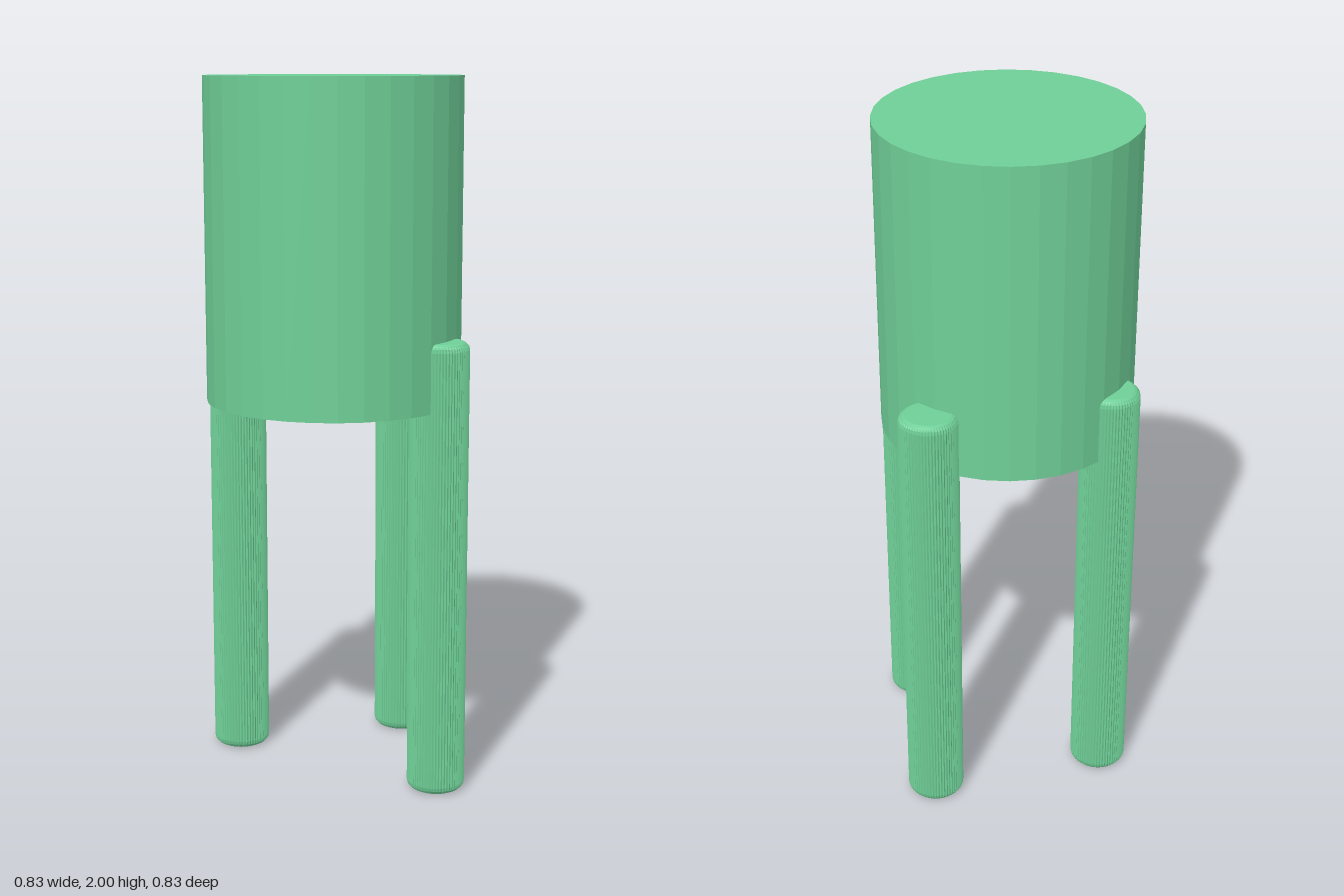
import * as THREE from 'three';

const green = new THREE.MeshStandardMaterial({ color: 0x6fcf97 });
green.name = 'green';

// Leg: a rounded-end rod whose side is finely ribbed all round
function legGeometry(ribs = 60) {
  const H = 1.29;
  const half = [[0, 0], [0.064, 0], [0.072, 0.004], [0.078, 0.012], [0.0805, 0.022]];
  const profile = [
    ...half,
    ...half.map(([r, y]) => [r, H - y]).reverse(),
  ].map(([r, y]) => new THREE.Vector2(r, y));
  const lathe = new THREE.LatheGeometry(profile, ribs * 2);

  // push every other column of the side outward to raise the ribs
  const pos = lathe.attributes.position;
  for (let i = 0; i < pos.count; i++) {
    const column = Math.floor(i / profile.length);
    const r = Math.hypot(pos.getX(i), pos.getZ(i));
    if (r < 0.077) continue;
    const k = column % 2 ? 0.985 : 1.02;
    pos.setX(i, pos.getX(i) * k);
    pos.setZ(i, pos.getZ(i) * k);
  }
  const flat = lathe.toNonIndexed();
  flat.computeVertexNormals();
  return flat;
}

export function createModel() {
  const model = new THREE.Group();
  model.name = 'threeLeggedDrum';

  // Body: faceted drum
  const drum = new THREE.CylinderGeometry(0.36, 0.36, 0.9, 32, 1, false, -0.05).toNonIndexed();
  drum.computeVertexNormals();
  const body = new THREE.Mesh(drum, green);
  body.name = 'body';
  body.position.set(0, 1.55, 0.053);
  model.add(body);

  // Three legs around the rim
  const geometry = legGeometry();
  const spots = { rightLeg: [-0.334, 0.098], leftLeg: [0.332, -0.004], backLeg: [-0.055, -0.332] };
  for (const [name, [x, z]] of Object.entries(spots)) {
    const leg = new THREE.Mesh(geometry, green);
    leg.name = name;
    leg.position.set(x, 0, z);
    model.add(leg);
  }
  return model;
}
